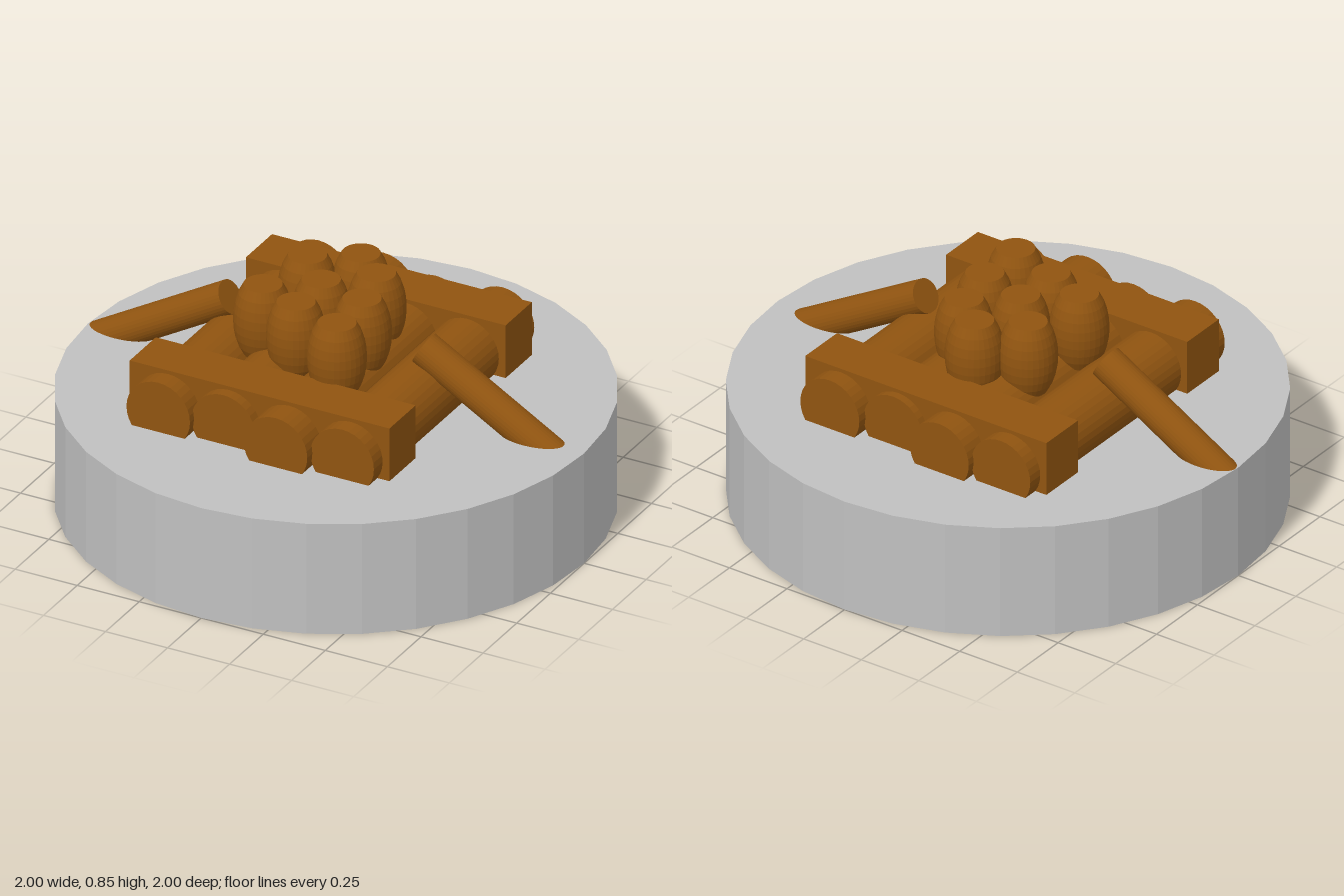
import * as THREE from 'three';

export function createModel() {
  const model = new THREE.Group();
  model.name = 'barrelRaft';

  const stone = new THREE.MeshStandardMaterial({ color: 0xc0c0c0, flatShading: true });
  stone.name = 'grey base';
  const wood = new THREE.MeshStandardMaterial({ color: 0x905410, flatShading: true });
  wood.name = 'brown wood';

  const SIDES = 32;
  const BASE_TOP = 0.444;

  const add = (name, geometry, material, x, y, z) => {
    const mesh = new THREE.Mesh(geometry, material);
    mesh.name = name;
    mesh.position.set(x, y, z);
    model.add(mesh);
    return mesh;
  };

  // Round display base
  add('base', new THREE.CylinderGeometry(1, 1, BASE_TOP, SIDES), stone, 0, BASE_TOP / 2, 0);

  // Four logs lying front to back, each shifted a little, half sunk in the base
  const logGeometry = new THREE.CylinderGeometry(0.128, 0.128, 1.19, SIDES).rotateX(Math.PI / 2);
  [[-0.401, -0.014], [-0.155, -0.044], [0.088, 0.016], [0.336, -0.022]].forEach(([x, z], i) => {
    add(`log${i + 1}`, logGeometry, wood, x, 0.515, z);
  });

  // Cross planks over the logs
  const plankBottom = 0.42, plankTop = 0.657;
  const plankGeometry = new THREE.BoxGeometry(1.047, plankTop - plankBottom, 0.194);
  [['frontPlank', 0.411], ['backPlank', -0.451]].forEach(([name, z]) => {
    add(name, plankGeometry, wood, -0.032, (plankBottom + plankTop) / 2, z);
  });

  // Slanted oars, mirrored about the raft's middle, with their lower ends in the base
  const raftX = -0.043;
  [['leftOar', 1], ['rightOar', -1]].forEach(([name, side]) => {
    const upper = new THREE.Vector3(raftX + side * 0.391, 0.695, -0.013);
    const lower = new THREE.Vector3(raftX + side * 0.922, 0.388, -0.013);
    const geometry = new THREE.CylinderGeometry(0.064, 0.064, upper.distanceTo(lower), SIDES);
    const middle = upper.clone().add(lower).multiplyScalar(0.5);
    const oar = add(name, geometry, wood, middle.x, middle.y, middle.z);
    const direction = upper.sub(lower).normalize();
    oar.quaternion.setFromUnitVectors(new THREE.Vector3(0, 1, 0), direction);
  });

  // Barrels: a stretched ball cut flat at both ends
  const half = 0.138, bands = 8;
  const profile = [new THREE.Vector2(0, -half)];
  for (let i = 0; i <= bands; i++) {
    const y = -half + (2 * half * i) / bands;
    profile.push(new THREE.Vector2(0.107 * Math.sqrt(1 - (y / 0.182) ** 2), y));
  }
  profile.push(new THREE.Vector2(0, half));
  const barrelGeometry = new THREE.LatheGeometry(profile, SIDES);
  [
    [-0.043, -0.265], [-0.203, -0.163], [0.075, -0.163], [-0.075, -0.028],
    [0.118, 0.024], [-0.24, 0.099], [-0.075, 0.158], [0.126, 0.225],
  ].forEach(([x, z], i) => {
    add(`barrel${i + 1}`, barrelGeometry, wood, x, 0.715, z);
  });

  return model;
}
